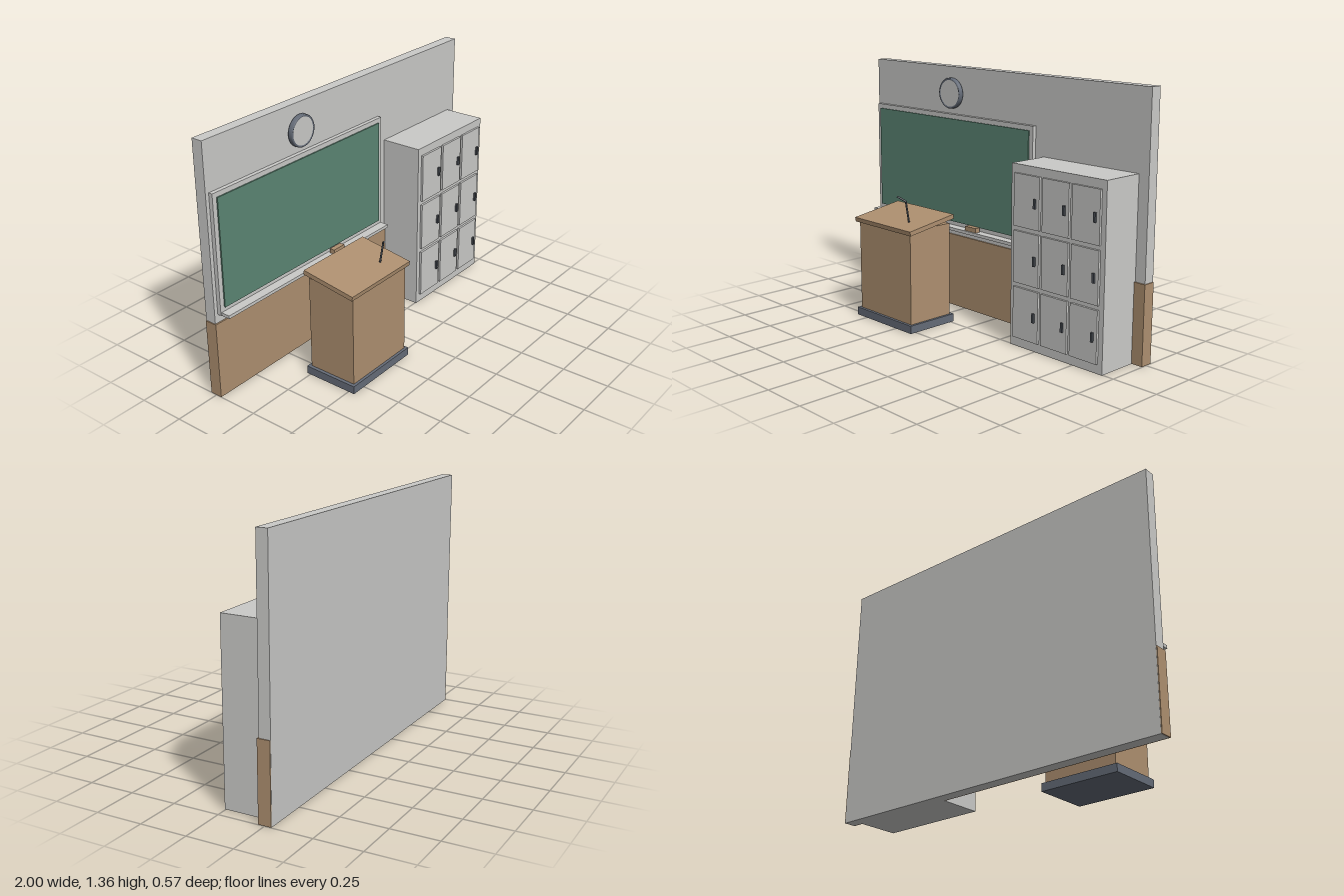
import * as THREE from 'three';

const mat = (name, color, side = THREE.FrontSide) => {
  const m = new THREE.MeshStandardMaterial({ color, side });
  m.name = name;
  return m;
};

export function createModel() {
  const root = new THREE.Group();
  root.name = 'classroomFront';
  const grey = mat('paleGrey', 0xcacac8);
  const wood = mat('wood', 0xae9070);
  const green = mat('boardGreen', 0x5c8674);
  const slate = mat('slate', 0x656c78);
  const dark = mat('darkMetal', 0x4c5158);

  const add = (parent, name, geo, material, x = 0, y = 0, z = 0) => {
    const m = new THREE.Mesh(geo, material);
    m.name = name;
    m.position.set(x, y, z);
    parent.add(m);
    return m;
  };
  // Box given by its extents on each axis
  const box = (parent, name, material, [x0, x1], [y0, y1], [z0, z1]) =>
    add(parent, name, new THREE.BoxGeometry(x1 - x0, y1 - y0, z1 - z0), material,
      (x0 + x1) / 2, (y0 + y1) / 2, (z0 + z1) / 2);
  const group = (name) => {
    const g = new THREE.Group();
    g.name = name;
    root.add(g);
    return g;
  };

  // Wall with wooden lower panelling
  box(root, 'wall', grey, [-0.995, 0.995], [0, 1.355], [-0.286, -0.225]);
  box(root, 'wainscot', wood, [-1, 1], [0.001, 0.415], [-0.285, -0.217]);

  // Chalkboard, frame, tray and eraser
  const board = group('chalkboard');
  box(board, 'boardFrame', grey, [-0.975, 0.273], [0.46, 1.097], [-0.225, -0.203]);
  box(board, 'boardSurface', green, [-0.95, 0.248], [0.497, 1.072], [-0.21, -0.196]);
  box(board, 'chalkTray', grey, [-0.97, 0.27], [0.458, 0.475], [-0.225, -0.153]);
  box(board, 'eraser', wood, [-0.185, -0.102], [0.475, 0.5], [-0.19, -0.16]);

  // Wall clock: turned case with a raised rim around the dial
  const clock = group('clock');
  clock.position.set(-0.352, 1.21, -0.225);
  const profile = [[0, 0], [0.083, 0], [0.084, 0.004], [0.084, 0.022], [0.081, 0.027],
    [0.075, 0.027], [0.073, 0.023], [0, 0.023]].map(([r, h]) => new THREE.Vector2(r, h));
  const flatCase = new THREE.LatheGeometry(profile, 40);
  add(clock, 'clockCase', flatCase, slate).rotation.x = Math.PI / 2;
  add(clock, 'clockDial', new THREE.CircleGeometry(0.073, 40), grey, 0, 0, 0.0245);

  // Locker cabinet with a 3 x 3 grid of doors
  const lockers = group('lockers');
  box(lockers, 'lockerBody', grey, [0.33, 0.936], [0, 0.943], [-0.225, 0.006]);
  for (let row = 0; row < 3; row++) {
    for (let col = 0; col < 3; col++) {
      const x = 0.357 + col * 0.19, y = 0.049 + row * 0.291;
      box(lockers, 'lockerDoor', grey, [x, x + 0.171], [y, y + 0.268], [0.006, 0.018]);
      box(lockers, 'doorHandle', dark, [x + 0.138, x + 0.151], [y + 0.108, y + 0.156], [0.018, 0.028]);
    }
  }

  // Lectern with a sloping top
  const lectern = group('lectern');
  box(lectern, 'lecternBase', slate, [-0.58, -0.128], [0, 0.043], [-0.02, 0.285]);
  box(lectern, 'lecternBody', wood, [-0.562, -0.142], [0.043, 0.55], [-0.005, 0.27]);
  const top = box(lectern, 'lecternTop', wood, [-0.584, -0.124], [0.553, 0.577], [-0.021, 0.286]);
  top.rotation.x = 0.15;

  // Microphone with a bent stem
  const mic = [[-0.245, 0.57, 0.19], [-0.245, 0.685, 0.21], [-0.277, 0.711, 0.242]]
    .map((p) => new THREE.Vector3(...p));
  for (let i = 0; i < 2; i++) {
    const path = new THREE.LineCurve3(mic[i], mic[i + 1]);
    const stem = add(lectern, i ? 'microphoneHead' : 'microphoneStem',
      new THREE.CylinderGeometry(0.005, 0.005, path.getLength(), 10), dark);
    stem.position.copy(path.getPoint(0.5));
    stem.quaternion.setFromUnitVectors(new THREE.Vector3(0, 1, 0), path.getTangent(0));
  }
  add(lectern, 'microphoneJoint', new THREE.SphereGeometry(0.005, 10, 8), dark, ...mic[1].toArray());

  return root;
}
